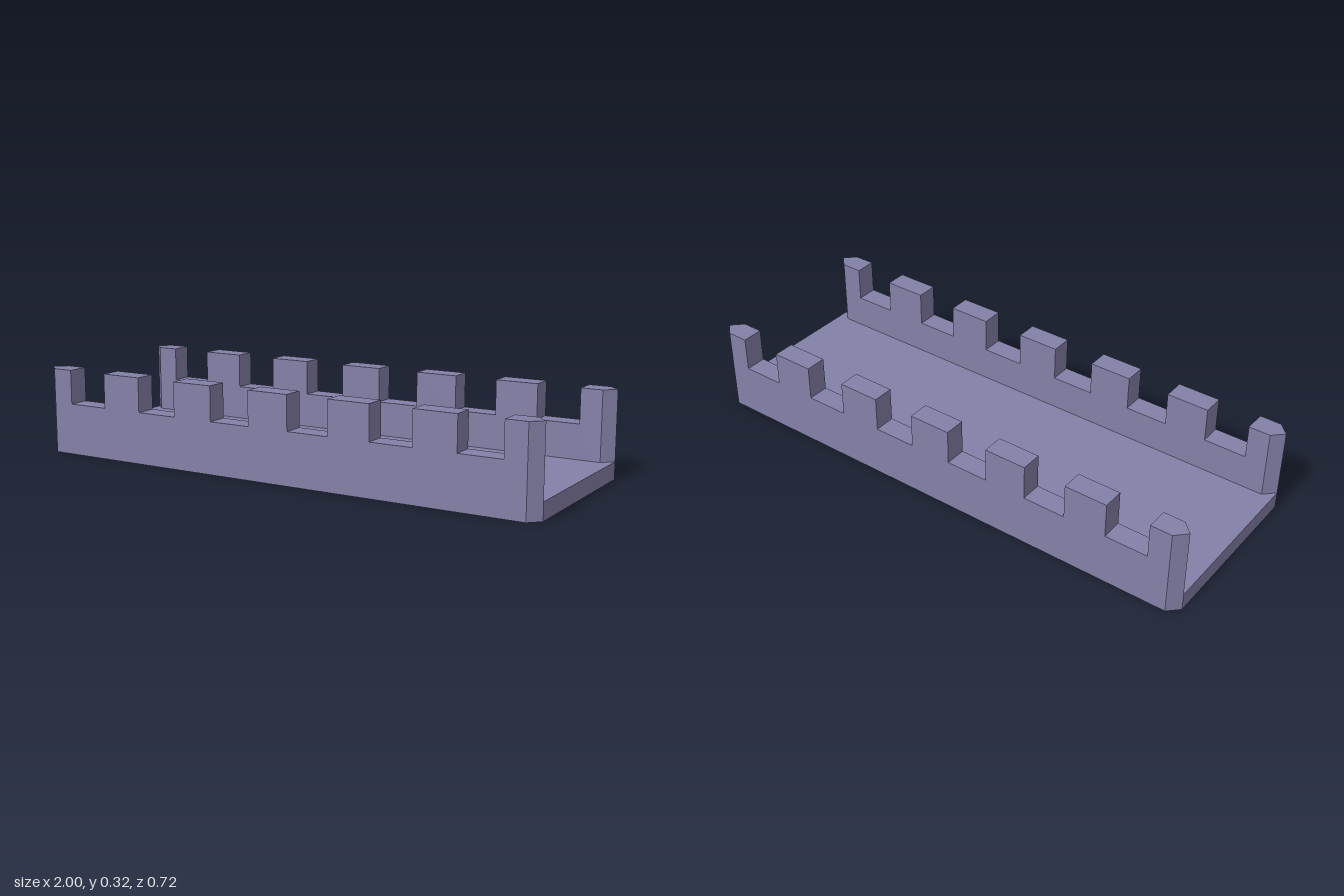
import * as THREE from 'three';

const HALF = 1, FLOOR_H = 0.064, SILL = 0.192, TOP = 0.32;
const WALL_T = 0.08, WALL_Z = 0.32, STEP = 0.32, GAP = 0.16, POINT = 0.04;

// Crenellated wall centred on z = 0, with both ends coming to a vertical edge
function wallGeometry() {
  const shape = new THREE.Shape();
  shape.moveTo(-HALF, 0);
  shape.lineTo(HALF, 0);
  shape.lineTo(HALF, TOP);
  for (let i = 0; i < 6; i++) {
    const x = 0.8 - i * STEP; // centre of each notch
    shape.lineTo(x + GAP / 2, TOP);
    shape.lineTo(x + GAP / 2, SILL);
    shape.lineTo(x - GAP / 2, SILL);
    shape.lineTo(x - GAP / 2, TOP);
  }
  shape.lineTo(-HALF, TOP);
  shape.closePath();

  const geo = new THREE.ExtrudeGeometry(shape, { depth: WALL_T, steps: 2, bevelEnabled: false });
  geo.translate(0, 0, -WALL_T / 2);
  // Pull the outer corners of the ends inward, leaving the middle as the point
  const p = geo.attributes.position;
  for (let i = 0; i < p.count; i++) {
    const x = p.getX(i);
    if (Math.abs(x) > HALF - 0.001 && Math.abs(p.getZ(i)) > 0.01) p.setX(i, x - Math.sign(x) * POINT);
  }
  geo.computeVertexNormals();
  return geo;
}

export function createModel() {
  const model = new THREE.Group();
  model.name = 'battlementWalkway';
  const material = new THREE.MeshStandardMaterial({ color: 0x8480a8, flatShading: true });

  // Floor slab, reaching to the middle of each wall
  const floor = new THREE.Mesh(new THREE.BoxGeometry(2 * HALF, FLOOR_H, 2 * WALL_Z), material);
  floor.name = 'floor';
  floor.position.y = FLOOR_H / 2;
  model.add(floor);

  // Matching walls front and back
  const geo = wallGeometry();
  for (const [name, side] of [['frontWall', 1], ['backWall', -1]]) {
    const wall = new THREE.Mesh(geo, material);
    wall.name = name;
    wall.position.z = side * WALL_Z;
    model.add(wall);
  }
  return model;
}
